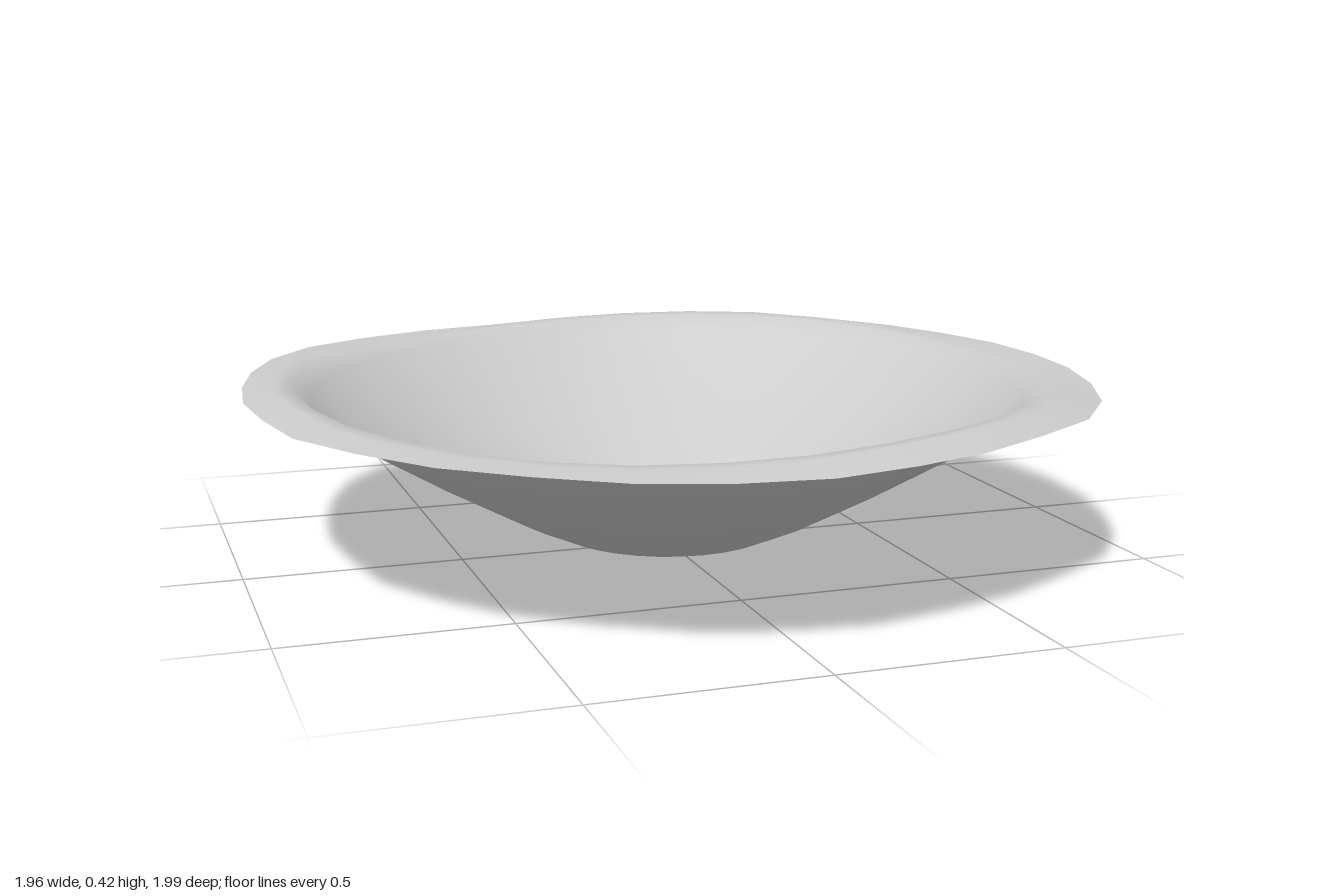
import * as THREE from 'three';
import { mergeVertices } from 'three/addons/utils/BufferGeometryUtils.js';

const SEGMENTS = 32;

// Outer edge radius of the lip, counter-clockwise from the front (+z towards +x)
const EDGE = [
  0.99, 0.97, 0.968, 0.971, 1.0, 1.0, 0.986, 0.979,
  0.975, 0.98, 0.986, 1.01, 1.01, 1.02, 1.005, 1.0,
  1.0, 1.0, 1.01, 1.02, 1.035, 1.02, 0.995, 0.98,
  0.98, 0.98, 1.0, 0.99, 0.99, 0.98, 0.99, 0.99,
];

// Bowl section from the centre of the base to the lip: radius, height
const PROFILE = [
  [0, 0], [0.15, 0.006], [0.26, 0.035], [0.37, 0.085], [0.56, 0.19],
  [0.735, 0.295], [0.83, 0.378], [0.875, 0.403], [0.92, 0.405], [1, 0.392],
];

function createBowl() {
  const points = PROFILE.map(([r, y]) => new THREE.Vector2(r, y));
  let geometry = new THREE.LatheGeometry(points, SEGMENTS);
  const pos = geometry.attributes.position;

  // Uneven, gently waving lip
  for (let i = 0; i < pos.count; i++) {
    const x = pos.getX(i), z = pos.getZ(i), r = Math.hypot(x, z);
    if (r < 0.8) continue;
    const angle = Math.atan2(x, z);
    const index = (Math.round(angle / (2 * Math.PI) * SEGMENTS) + SEGMENTS) % SEGMENTS;
    const outer = THREE.MathUtils.smoothstep(r, 0.8, 1);
    const scale = 1 + (EDGE[index] - 1) * outer;
    const crest = r > 0.86 && r < 0.95 ? 0.011 * Math.sin(3 * angle) : 0;
    const edge = r > 0.95 ? -0.008 * Math.cos(2 * angle) : 0;
    pos.setXYZ(i, x * scale, pos.getY(i) + crest + edge, z * scale);
  }

  // Weld the seam so the shading is continuous
  geometry.deleteAttribute('uv');
  geometry.deleteAttribute('normal');
  geometry = mergeVertices(geometry, 1e-4);
  geometry.computeVertexNormals();

  const material = new THREE.MeshStandardMaterial({ color: 0xcccccc, side: THREE.DoubleSide });
  const bowl = new THREE.Mesh(geometry, material);
  bowl.name = 'bowl';
  return bowl;
}

export function createModel() {
  const group = new THREE.Group();
  group.name = 'shallowBowl';
  group.add(createBowl());
  return group;
}
